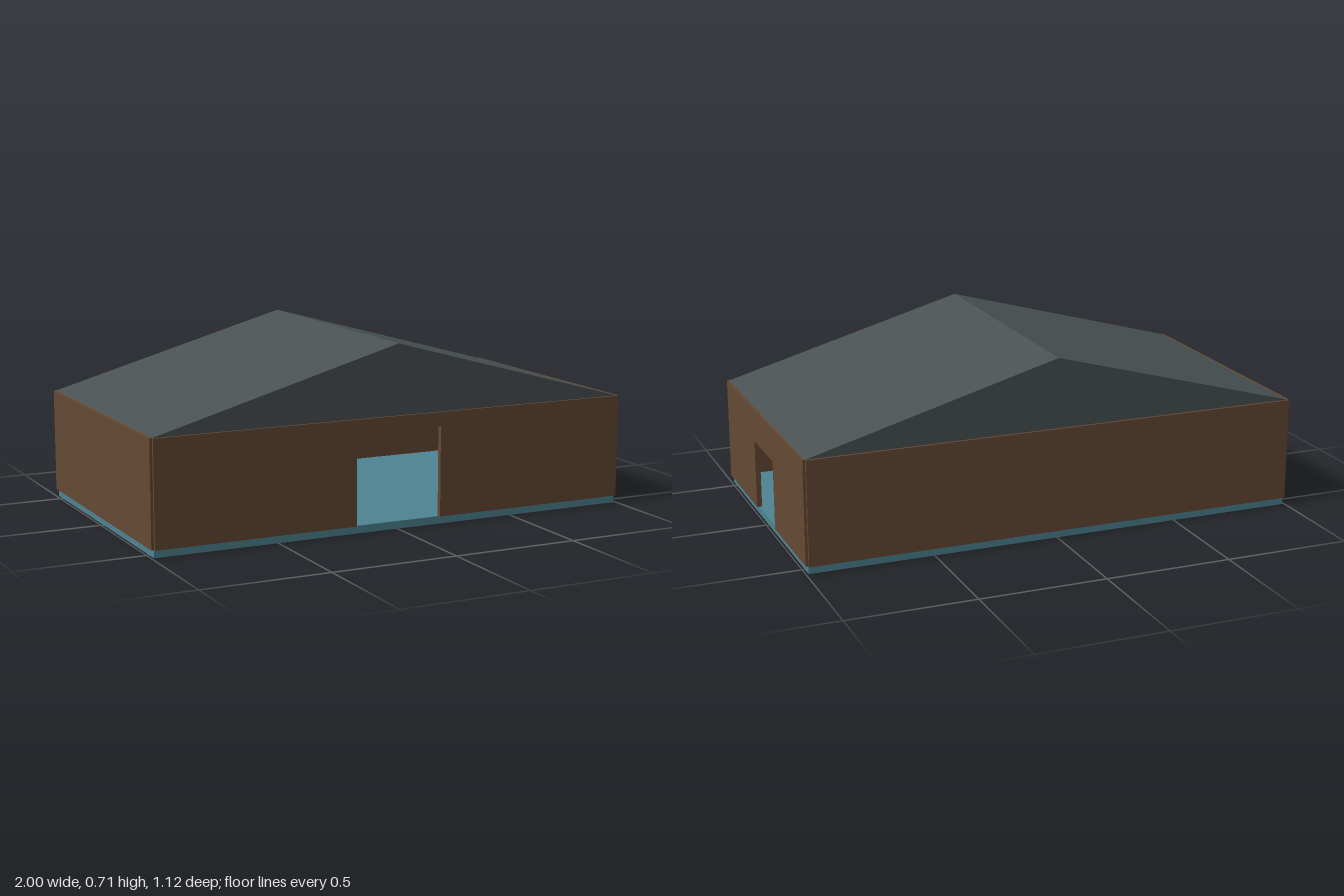
import * as THREE from 'three';

const mat = (color) => new THREE.MeshStandardMaterial({ color, flatShading: true });

export function createModel() {
  const model = new THREE.Group();
  model.name = 'house';
  const teal = mat(0x4f8493), brown = mat(0x654a34), grey = mat(0x4a5254);

  const HX = 0.99, HZ = 0.55, FLOOR = 0.03, EAVE = 0.44, RIDGE = 0.715, T = 0.02;

  const add = (name, geometry, material, x = 0, y = 0, z = 0) => {
    const mesh = new THREE.Mesh(geometry, material);
    mesh.name = name;
    mesh.position.set(x, y, z);
    model.add(mesh);
    return mesh;
  };
  const box = (name, material, x0, x1, y0, y1, z0, z1) =>
    add(name, new THREE.BoxGeometry(x1 - x0, y1 - y0, z1 - z0), material,
      (x0 + x1) / 2, (y0 + y1) / 2, (z0 + z1) / 2);

  // Outline extruded along z and centred on it
  const slab = (points, depth) => new THREE.ExtrudeGeometry(
    new THREE.Shape(points.map(([x, y]) => new THREE.Vector2(x, y))),
    { depth, bevelEnabled: false }).translate(0, 0, -depth / 2);

  // Wall panel, with an optional doorway [half width, top]
  const wall = (half, door) => {
    const doorway = door
      ? [[-door[0], FLOOR], [-door[0], door[1]], [door[0], door[1]], [door[0], FLOOR]]
      : [];
    return slab([[-half, FLOOR], ...doorway, [half, FLOOR], [half, EAVE], [-half, EAVE]], T);
  };

  // Floor slab
  box('floor', teal, -HX, HX, 0, FLOOR, -HZ, HZ);

  // Walls centred on the slab's edges, leaving notched corners
  add('frontWall', wall(HX, [0.18, 0.385]), brown, 0, 0, HZ);
  add('backWall', wall(HX), brown, 0, 0, -HZ);
  add('sideWallWithDoor', wall(HZ, [0.133, 0.305]), brown, HX).rotation.y = Math.PI / 2;
  add('plainSideWall', wall(HZ), brown, -HX).rotation.y = Math.PI / 2;

  // Solid gable roof
  add('roof', slab([[-HX, EAVE], [HX, EAVE], [0, RIDGE]], 2 * HZ), grey);

  // Low corner counter inside
  box('counterSide', grey, -0.97, -0.78, FLOOR, 0.19, -0.53, 0.01);
  box('counterBack', grey, -0.78, -0.25, FLOOR, 0.19, -0.53, -0.26);

  return model;
}
